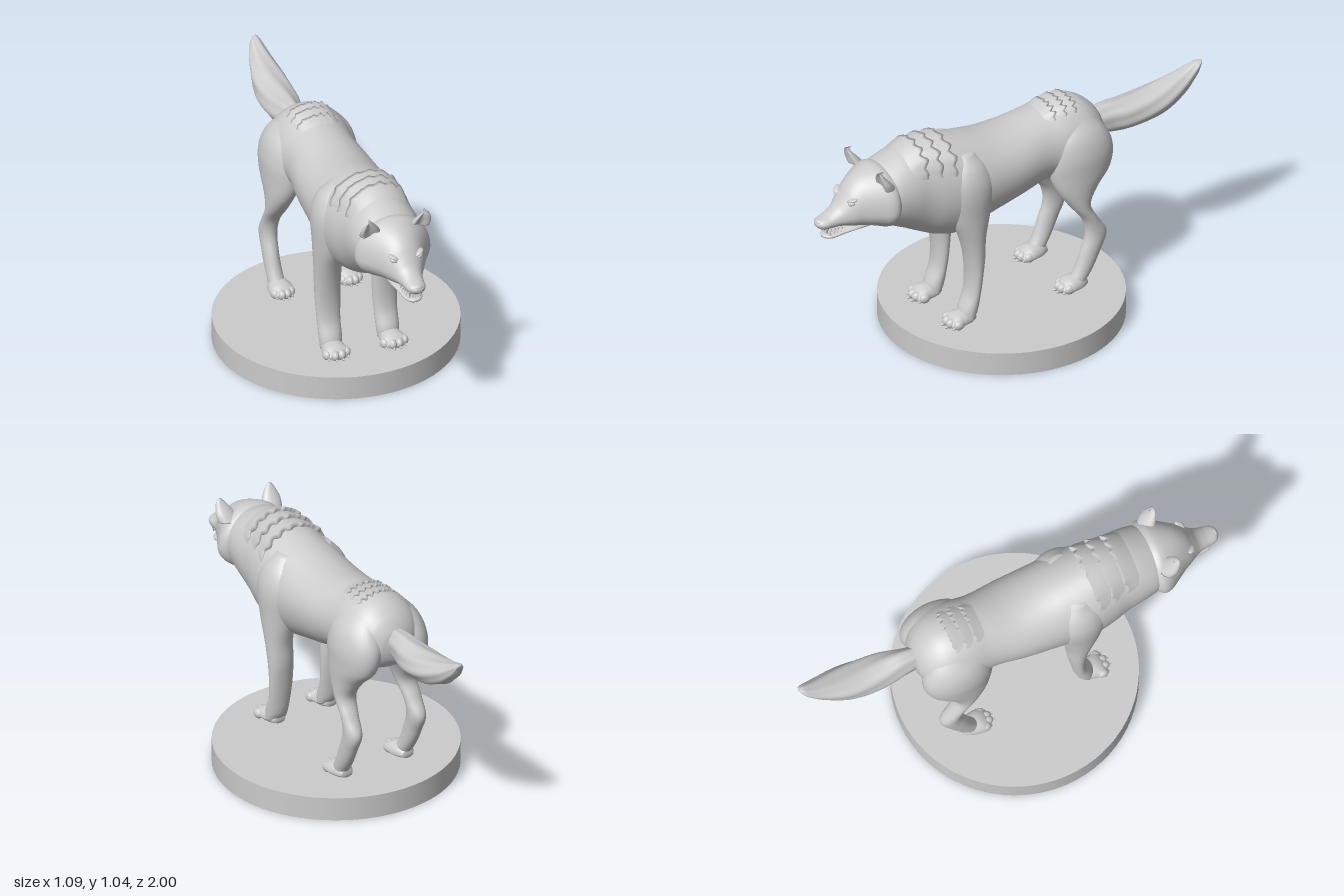
import * as THREE from 'three';
import { mergeVertices } from 'three/addons/utils/BufferGeometryUtils.js';

const material = new THREE.MeshStandardMaterial({ color: 0xcccccc, roughness: 0.8 });

// Smooth surface from a rule fn(i, j) -> [x, y, z]; faces look along du x dv
function grid(nu, nv, fn) {
  const pos = [], idx = [];
  for (let j = 0; j <= nv; j++) for (let i = 0; i <= nu; i++) pos.push(...fn(i, j));
  for (let j = 0; j < nv; j++) for (let i = 0; i < nu; i++) {
    const a = j * (nu + 1) + i, b = a + 1, c = a + nu + 1, d = c + 1;
    idx.push(a, b, d, a, d, c);
  }
  const g = new THREE.BufferGeometry();
  g.setAttribute('position', new THREE.Float32BufferAttribute(pos, 3));
  g.setIndex(idx);
  const merged = mergeVertices(g, 1e-5);
  merged.computeVertexNormals();
  return merged;
}

// Smooth interpolation of a table row at key k (first column, increasing)
function rowAt(t, k) {
  let i = 0;
  while (i < t.length - 2 && k > t[i + 1][0]) i++;
  const slope = (n, c) => {
    const a = t[Math.max(n - 1, 0)], b = t[Math.min(n + 1, t.length - 1)];
    return (b[c] - a[c]) / (b[0] - a[0]);
  };
  const h = t[i + 1][0] - t[i][0], s = (k - t[i][0]) / h, s2 = s * s, s3 = s2 * s;
  return t[i].map((v, c) => (2 * s3 - 3 * s2 + 1) * v + (s3 - 2 * s2 + s) * h * slope(i, c)
    + (3 * s2 - 2 * s3) * t[i + 1][c] + (s3 - s2) * h * slope(i + 1, c));
}

// Closed loft through a table; point(row, angle, scale) gives the surface
function loft(table, point, nu = 40, sub = 6) {
  const keys = [table[0][0]];
  for (let i = 1; i < table.length; i++) for (let s = 1; s <= sub; s++)
    keys.push(THREE.MathUtils.lerp(table[i - 1][0], table[i][0], s / sub));
  const n = keys.length;
  return grid(nu, n + 1, (i, j) => {
    const row = rowAt(table, keys[THREE.MathUtils.clamp(j - 1, 0, n - 1)]);
    return point(row, (i % nu) / nu * Math.PI * 2, j === 0 || j === n + 1 ? 0 : 1);
  });
}

// Row along z: [z, top, bottom, halfWidth, middle, xOffset]
const zPoint = ([z, top, bot, w, mid, xc = 0], a, s = 1) => {
  const sn = Math.sin(a);
  return [xc + s * w * Math.cos(a), mid + s * sn * (sn > 0 ? top - mid : mid - bot), z];
};
// Row along y: [y, zFront, zBack, xInner, xOuter]; dent hollows the front
const yPoint = (side, dent = 0) => ([y, zf, zb, xi, xo], a, s = 1) => {
  const c = Math.cos(a);
  return [side * (xi + xo) / 2 + s * (xo - xi) / 2 * Math.sin(a),
    y, (zf + zb) / 2 + s * ((zf - zb) / 2 * c - dent * Math.max(0, c) ** 4)];
};

const BODY = [
  [-.475, .83, .77, .03, .80], [-.46, .88, .72, .085, .80], [-.42, .935, .68, .14, .80],
  [-.35, .98, .65, .175, .80], [-.25, .992, .63, .18, .80], [-.14, .975, .635, .168, .80],
  [0, .955, .60, .183, .79], [.12, .96, .57, .19, .78], [.25, .985, .535, .195, .77],
  [.33, 1.0, .52, .196, .77], [.42, 1.015, .545, .185, .78], [.50, 1.02, .585, .17, .80],
  [.58, 1.005, .63, .165, .82], [.65, .98, .665, .155, .83], [.72, .95, .70, .13, .83]];
const HEAD = [
  [.63, .95, .69, .13, .82], [.665, .97, .68, .17, .81], [.70, .978, .688, .173, .80],
  [.75, .965, .705, .145, .80], [.80, .94, .715, .112, .80], [.84, .905, .722, .09, .795],
  [.87, .865, .73, .071, .785], [.90, .828, .735, .056, .775], [.94, .803, .736, .047, .77],
  [.965, .795, .738, .043, .768], [.985, .789, .745, .034, .768], [1.0, .776, .758, .014, .768]];
const JAW = [
  [.74, .735, .695, .06, .715], [.82, .735, .70, .06, .715], [.88, .722, .692, .05, .71],
  [.93, .712, .685, .042, .702], [.955, .71, .687, .03, .70], [.968, .704, .694, .012, .70]];
const TAIL = [
  [-1, .957, .945, .012, .951, .03], [-.98, .956, .9, .028, .93, .025], [-.95, .945, .865, .04, .906, .022],
  [-.9, .928, .82, .056, .874, .02], [-.8, .903, .768, .08, .836, .016], [-.7, .888, .745, .085, .816, .013],
  [-.6, .885, .735, .077, .81, .01], [-.52, .888, .738, .06, .813, .004], [-.43, .88, .75, .045, .815, 0]];
const FRONT_LEG = [
  [.13, .33, .27, .085, .185], [.17, .335, .25, .082, .187], [.25, .303, .237, .08, .188],
  [.33, .295, .227, .076, .192], [.43, .305, .215, .075, .197], [.53, .33, .21, .075, .202],
  [.65, .375, .185, .07, .208], [.79, .40, .165, .06, .213], [.88, .38, .19, .05, .188], [.95, .33, .24, .04, .13]];
const HIND_LEG = [
  [.13, -.21, -.295, .125, .2], [.2, -.25, -.34, .13, .203], [.28, -.28, -.38, .132, .205],
  [.36, -.305, -.41, .128, .206], [.44, -.293, -.365, .122, .206], [.52, -.235, -.33, .105, .207],
  [.6, -.18, -.375, .08, .21], [.68, -.15, -.45, .045, .214], [.78, -.142, -.468, .02, .214],
  [.87, -.17, -.43, .02, .185], [.95, -.24, -.36, .03, .11]];
const EAR = [
  [.92, .75, .67, .06, .162], [.95, .757, .695, .077, .165], [.98, .763, .722, .096, .156],
  [1.0, .763, .74, .113, .147], [1.012, .759, .75, .125, .136]];

export function createModel() {
  const model = new THREE.Group();
  const add = (name, geo, parent = model) => {
    const m = new THREE.Mesh(geo, material);
    m.name = name;
    parent.add(m);
    return m;
  };
  const ball = (name, x, y, z, rx, ry, rz, parent) => {
    const m = add(name, new THREE.SphereGeometry(1, 20, 14), parent);
    m.position.set(x, y, z);
    m.scale.set(rx, ry, rz);
    return m;
  };

  // Round stand
  add('base', new THREE.CylinderGeometry(.545, .545, .11, 72)).position.set(0, .055, .025);

  // Trunk and tail, the tail grooved like combed fur
  add('body', loft(BODY, zPoint, 56));
  add('tail', loft(TAIL, (row, a, s) =>
    zPoint(row, a, s * (1 + .035 * Math.sin(7 * a + row[0] * 14) - .03)), 64));

  // Shaggy overlapping fur layers over the shoulders and the rump
  const furLayer = (ze, len, lift, a0, seed) => add('furLayer', grid(72, 8, (i, j) => {
    const u = i / 72, a = THREE.MathUtils.lerp(Math.PI - a0, a0, u);
    const fade = Math.min(1, Math.sin(Math.PI * u) * 1.8);
    const tooth = Math.abs(Math.sin(u * 21 + seed)) + .4 * Math.sin(u * 47 + seed * 2);
    const t = Math.min(j / 6, 1), edge = ze - .014 * tooth * fade;
    const z = j <= 6 ? ze + len + (edge - ze - len) * t : edge + .004 * (j - 6);
    const out = j <= 6 ? -.004 + (lift * fade + .004) * t * (.85 + .15 * tooth) : -.005 * (j - 6);
    const p = zPoint(rowAt(BODY, z), a);
    return [p[0] + Math.cos(a) * out, p[1] + Math.sin(a) * out, p[2]];
  }));
  [.365, .435, .505].forEach((z, i) => furLayer(z, .085, .022, .5, i * 1.7));
  [-.3, -.25, -.195].forEach((z, i) => furLayer(z, .06, .014, .95, i * 2.3 + 1));

  // Head with the open mouth
  const head = new THREE.Group();
  head.name = 'head';
  model.add(head);
  add('skull', loft(HEAD, zPoint, 48), head);
  add('lowerJaw', loft(JAW, zPoint, 32), head);
  ball('nose', 0, .775, .984, .024, .016, .015, head);
  ball('tongue', 0, .716, .90, .024, .006, .045, head);

  const tooth = (x, y, z, h, up) => {
    const m = add('tooth', new THREE.ConeGeometry(h * .32, h, 8), head);
    m.position.set(x, y, z);
    if (!up) m.rotation.x = Math.PI;
  };
  for (let i = -2; i <= 2; i++) {
    tooth(i * .008, .736, .972 - Math.abs(i) * .003, .014, false);
    tooth(i * .007, .712, .953 - Math.abs(i) * .003, .014, true);
  }

  for (const s of [-1, 1]) {
    // Fangs and cheek teeth
    tooth(s * .027, .732, .958, .028, false);
    tooth(s * .024, .717, .942, .028, true);
    for (let i = 0; i < 4; i++) {
      tooth(s * (.033 + i * .003), .735, .94 - i * .017, .014, false);
      tooth(s * (.03 + i * .003), .716, .922 - i * .015, .013, true);
    }

    // Eye, brow and ear
    const p = zPoint(rowAt(HEAD, .853), s > 0 ? .72 : Math.PI - .72);
    ball('eye', p[0], p[1], p[2], .017, .010, .012, head).rotation.set(0, s * .6, s * .25);
    ball('brow', p[0] * .98, p[1] + .013, p[2] - .006, .026, .008, .016, head).rotation.set(0, s * .6, s * .35);
    add('ear', loft(EAR, yPoint(s, .03), 32), head);

    // Legs and paws
    for (const [name, table, x, zBack, width] of [
      ['front', FRONT_LEG, .136, .265, .062], ['hind', HIND_LEG, .16, -.305, .053]]) {
      add(name + 'Leg', loft(table, yPoint(s), 32));
      const paw = [[0, .15, .115, .028, .13], [.03, .172, .109, .045, .13], [.08, .172, .108, .056, .13],
        [.11, .16, .108, width, .13], [.132, .14, .11, .04, .125]]
        .map(([z, ...r]) => [z + zBack, ...r, s * x]);
      add(name + 'Paw', loft(paw, zPoint, 32));
      for (let i = 0; i < 4; i++) {
        const o = (i - 1.5) / 1.5, zt = zBack + .124 - .022 * o * o;
        ball('toe', s * x + o * (width - .016), .131, zt, .019, .023, .026);
        ball('claw', s * x + o * (width - .016), .119, zt + .023, .005, .006, .012);
      }
    }
  }
  return model;
}
